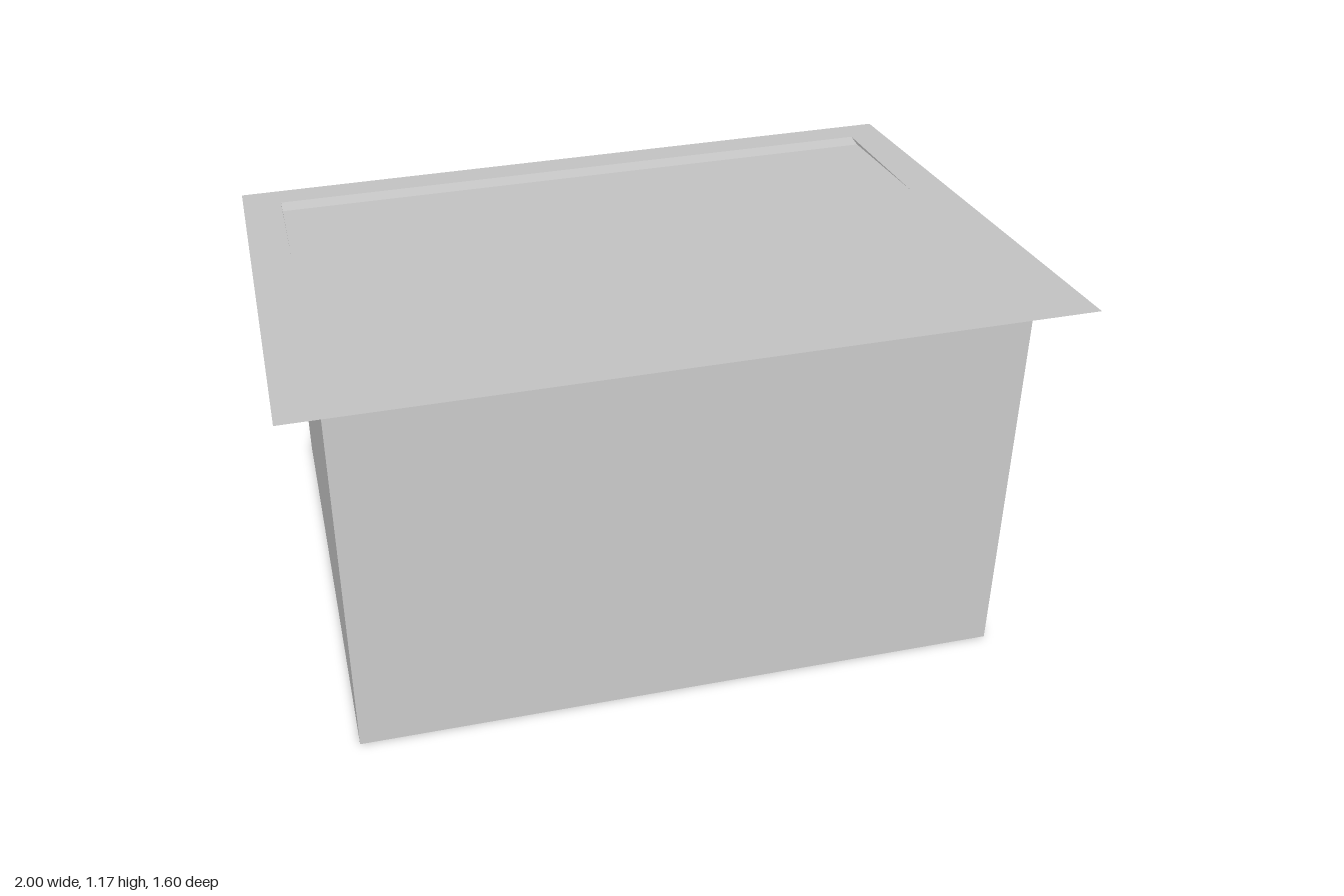
import * as THREE from 'three';

export function createModel() {
  const group = new THREE.Group();
  group.name = 'shed';
  const grey = new THREE.MeshStandardMaterial({ color: 0xcccccc, side: THREE.DoubleSide });
  grey.name = 'light grey';

  const W = 0.89, D = 0.668;         // half width and half depth of the walls
  const LOW = 0.914, HIGH = 1.135;   // wall heights at the back and front

  const add = (name, geometry, x = 0, y = 0, z = 0, rx = 0, ry = 0) => {
    const mesh = new THREE.Mesh(geometry, grey);
    mesh.name = name;
    mesh.position.set(x, y, z);
    mesh.rotation.set(rx, ry, 0);
    group.add(mesh);
    return mesh;
  };
  const plate = (w, h) => new THREE.PlaneGeometry(w, h);
  const polygon = (points) => new THREE.Shape(points.map(([x, y]) => new THREE.Vector2(x, y)));

  // Front wall and the two sloping side walls (open underneath)
  add('frontWall', plate(2 * W, HIGH), 0, HIGH / 2, D);
  const side = new THREE.ShapeGeometry(polygon([[-D, 0], [D, 0], [D, LOW], [-D, HIGH]]));
  add('leftWall', side, W, 0, 0, 0, Math.PI / 2);
  const mirrored = new THREE.ShapeGeometry(polygon([[-D, 0], [D, 0], [D, HIGH], [-D, LOW]]));
  add('rightWall', mirrored, -W, 0, 0, 0, -Math.PI / 2);

  // Flat ceiling
  add('ceiling', plate(2 * W, 2 * D), 0, LOW, 0, -Math.PI / 2);

  // Back wall with a door opening
  const x0 = -0.225, x1 = 0.207, y0 = 0.04, y1 = 0.87, depth = 0.03;
  const back = polygon([[-W, 0], [W, 0], [W, LOW], [-W, LOW]]);
  // The wall is turned round, so the opening is mirrored in x
  back.holes.push(polygon([[-x1, y0], [-x1, y1], [-x0, y1], [-x0, y0]]));
  add('backWall', new THREE.ShapeGeometry(back), 0, 0, -D, 0, Math.PI);

  // Recessed door and its reveals
  const cx = (x0 + x1) / 2, cy = (y0 + y1) / 2, cz = -D + depth / 2;
  add('door', plate(x1 - x0, y1 - y0), cx, cy, -D + depth, 0, Math.PI);
  add('doorSill', plate(x1 - x0, depth), cx, y0, cz, -Math.PI / 2);
  add('doorHead', plate(x1 - x0, depth), cx, y1, cz, Math.PI / 2);
  add('doorJambRight', plate(depth, y1 - y0), x0, cy, cz, 0, Math.PI / 2);
  add('doorJambLeft', plate(depth, y1 - y0), x1, cy, cz, 0, -Math.PI / 2);

  // Seven vertical battens on the back
  for (let i = -3; i <= 3; i++) {
    add('batten', new THREE.BoxGeometry(0.025, 0.908, 0.012), -0.035 + i * 0.244, 0.454, -D - 0.005);
  }

  // Thin single-pitch roof, sloping down to the back
  const rise = 1.175 - 0.88;
  add('roof', plate(2, Math.hypot(1.6, rise)), 0, (1.175 + 0.88) / 2, 0, -Math.PI / 2 - Math.atan2(rise, 1.6));

  return group;
}
